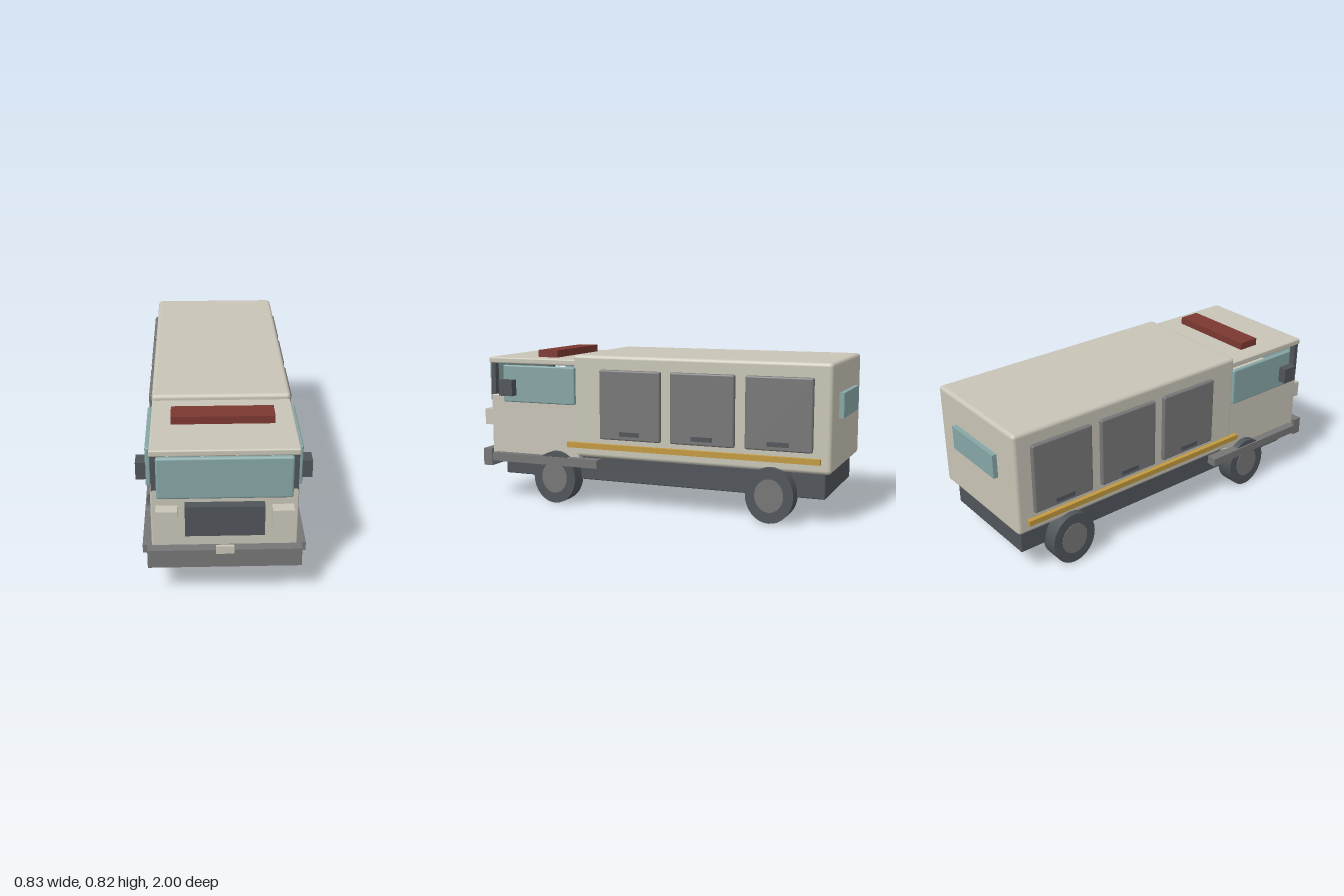
import * as THREE from 'three';
import { RoundedBoxGeometry } from 'three/addons/geometries/RoundedBoxGeometry.js';

const paint = (name, color) => {
  const m = new THREE.MeshStandardMaterial({ color });
  m.name = name;
  return m;
};

export function createModel() {
  const cream = paint('cream', 0xc8c4b6);
  const glass = paint('glass', 0x86a6a6);
  const charcoal = paint('charcoal', 0x50555a);
  const grey = paint('grey', 0x767677);
  const red = paint('red', 0x7c3832);
  const yellow = paint('yellow', 0xc2993f);

  const model = new THREE.Group();
  model.name = 'fireTruck';

  // Box from its minimum and maximum extents, with optional rounded edges
  const box = (name, material, [x0, x1], [y0, y1], [z0, z1], radius = 0) => {
    const size = [x1 - x0, y1 - y0, z1 - z0];
    const geometry = radius
      ? new RoundedBoxGeometry(...size, 3, radius)
      : new THREE.BoxGeometry(...size);
    const mesh = new THREE.Mesh(geometry, material);
    mesh.name = name;
    mesh.position.set((x0 + x1) / 2, (y0 + y1) / 2, (z0 + z1) / 2);
    model.add(mesh);
    return mesh;
  };
  // The same box on both sides of the truck
  const pair = (name, material, [x0, x1], y, z, radius = 0) => {
    box(name + 'Left', material, [x0, x1], y, z, radius);
    box(name + 'Right', material, [-x1, -x0], y, z, radius);
  };

  // Chassis, equipment body and open-framed cab
  box('chassis', charcoal, [-0.303, 0.303], [0.127, 0.27], [-0.94, 0.88], 0.006);
  box('equipmentBody', cream, [-0.347, 0.347], [0.26, 0.81], [-0.975, 0.43], 0.02);
  box('cabLower', cream, [-0.345, 0.345], [0.212, 0.577], [0.4, 0.94], 0.008);
  box('cabRoof', cream, [-0.345, 0.345], [0.749, 0.782], [0.4, 0.951], 0.008);
  pair('cabPillar', charcoal, [0.308, 0.341], [0.565, 0.752], [0.914, 0.94]);

  // Glazing
  box('windscreen', glass, [-0.316, 0.316], [0.535, 0.751], [0.94, 0.968], 0.012);
  pair('sideWindow', glass, [0.344, 0.368], [0.54, 0.743], [0.412, 0.85], 0.008);
  box('rearWindow', glass, [-0.19, 0.19], [0.523, 0.65], [-1, -0.97]);

  // Roof beacon and mirrors
  box('beaconBar', red, [-0.248, 0.248], [0.78, 0.821], [0.575, 0.692]);
  pair('mirror', charcoal, [0.366, 0.414], [0.578, 0.665], [0.768, 0.85]);

  // Front end
  box('grille', charcoal, [-0.186, 0.186], [0.347, 0.505], [0.93, 0.986]);
  pair('headlight', cream, [0.22, 0.321], [0.4, 0.488], [0.93, 1]);
  box('bumper', grey, [-0.365, 0.365], [0.175, 0.27], [0.936, 0.99]);
  box('numberPlate', cream, [-0.043, 0.043], [0.255, 0.296], [0.985, 1]);

  // Side trim, steps and lockers with handles
  pair('sideStripe', yellow, [0.34, 0.371], [0.311, 0.339], [-0.925, 0.46]);
  pair('runningBoard', grey, [0.335, 0.39], [0.209, 0.254], [0.273, 0.914]);
  for (const z of [0.092, -0.31, -0.712]) {
    pair('locker', grey, [0.338, 0.368], [0.366, 0.736], [z - 0.173, z + 0.173], 0.009);
    pair('lockerHandle', charcoal, [0.36, 0.377], [0.389, 0.412], [z - 0.055, z + 0.055]);
  }

  // Wheels, slightly taller than long
  const tyreGeometry = new THREE.CylinderGeometry(0.1415, 0.1415, 0.097, 32).rotateZ(Math.PI / 2);
  const hubGeometry = new THREE.CylinderGeometry(0.085, 0.085, 0.101, 32).rotateZ(Math.PI / 2);
  for (const side of [1, -1]) {
    for (const z of [0.532, -0.674]) {
      const wheel = new THREE.Group();
      wheel.name = (z > 0 ? 'front' : 'rear') + 'Wheel' + (side > 0 ? 'Left' : 'Right');
      const tyre = new THREE.Mesh(tyreGeometry, charcoal);
      tyre.name = 'tyre';
      const hub = new THREE.Mesh(hubGeometry, grey);
      hub.name = 'hub';
      hub.position.x = side * 0.001;
      wheel.add(tyre, hub);
      wheel.position.set(side * 0.3335, 0.1415, z);
      wheel.scale.z = 0.88;
      model.add(wheel);
    }
  }
  return model;
}
